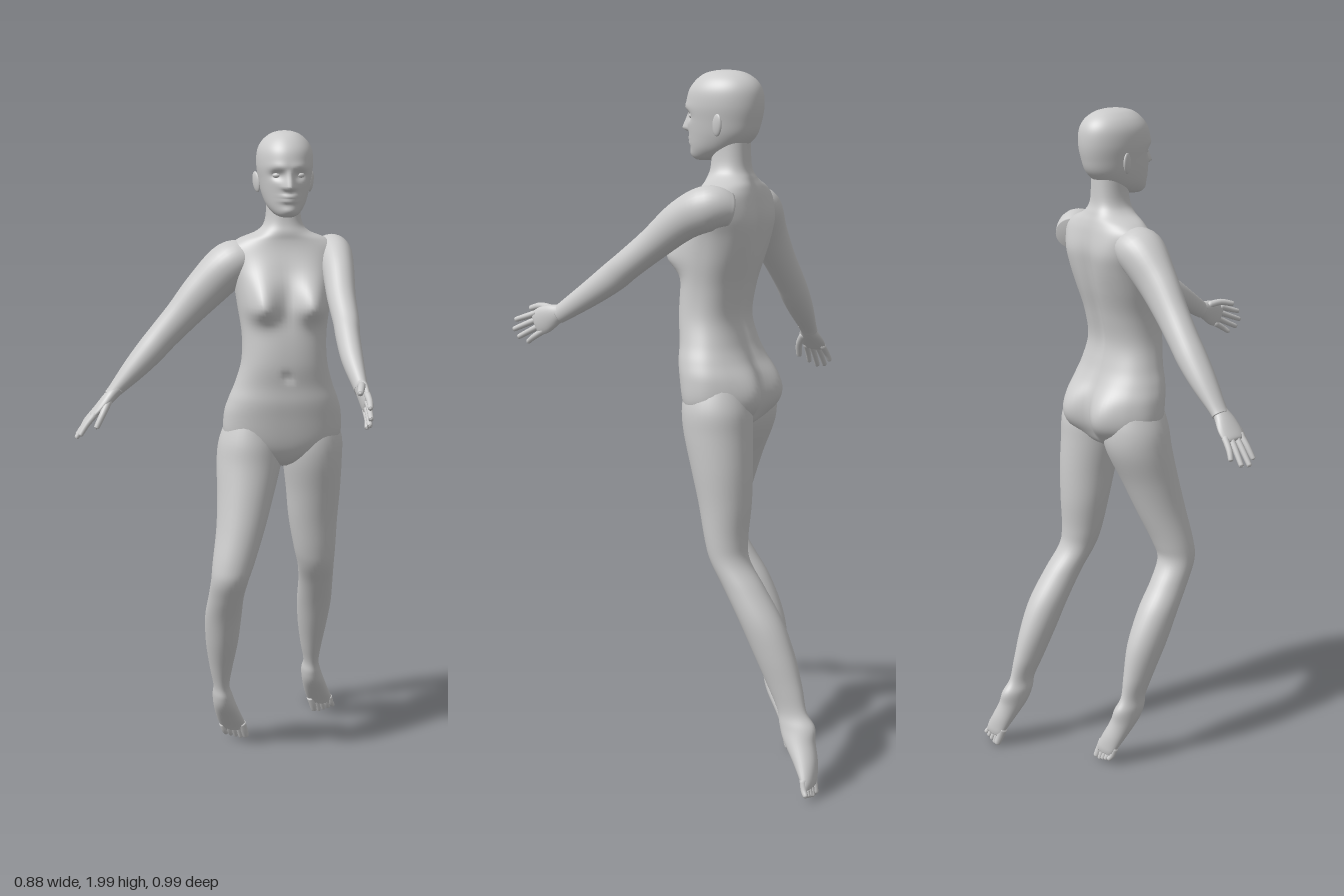
import * as THREE from 'three';

const MAT = new THREE.MeshStandardMaterial({ color: 0xcccccc, roughness: 0.8 });
const V = (x, y, z) => new THREE.Vector3(x, y, z);
const CX = 0.205; // body midline
const gauss = (d, s) => Math.exp(-(d * d) / (s * s));

// Catmull-Rom interpolation through rows of numbers
function smoothRows(rows, steps) {
  const out = [];
  const at = (i) => rows[Math.min(rows.length - 1, Math.max(0, i))];
  for (let i = 0; i < rows.length - 1; i++) {
    for (let s = 0; s < steps; s++) {
      const t = s / steps;
      out.push(rows[i].map((p1, k) => {
        const p0 = at(i - 1)[k], p2 = at(i + 1)[k], p3 = at(i + 2)[k];
        return p1 + 0.5 * t * (p2 - p0 + t * (2 * p0 - 5 * p1 + 4 * p2 - p3 + t * (3 * (p1 - p2) + p3 - p0)));
      }));
    }
  }
  out.push(rows[rows.length - 1]);
  return out;
}

// Closed loft through elliptical sections [x, y, z, radius along hint, radius across]
function loft(name, rows, { hint = V(1, 0, 0), level = false, n = 32, steps = 6, power = 1, deform } = {}) {
  const rings = smoothRows(rows, steps);
  const cap = (r) => [r[0], r[1], r[2], 1e-4, 1e-4];
  rings.unshift(cap(rings[0]));
  rings.push(cap(rings[rings.length - 1]));
  const centre = (i) => V(...rings[Math.min(rings.length - 2, Math.max(1, i))].slice(0, 3));
  const pos = [], index = [];
  const round = (c) => Math.sign(c) * Math.abs(c) ** power;
  rings.forEach((r, i) => {
    const a = Math.min(rings.length - 3, Math.max(1, i - 1));
    const b = Math.max(3, Math.min(rings.length - 2, i + 1));
    const t = centre(b).sub(centre(a)).normalize();
    if (level) t.set(0, Math.sign(t.y), 0);
    const u = hint.clone().addScaledVector(t, -hint.dot(t)).normalize();
    const v = t.clone().cross(u);
    for (let j = 0; j < n; j++) {
      const q = (j / n) * Math.PI * 2;
      const p = V(r[0], r[1], r[2])
        .addScaledVector(u, r[3] * round(Math.cos(q)))
        .addScaledVector(v, r[4] * round(Math.sin(q)));
      if (deform) deform(p, (p.z - r[2]) / r[4]);
      pos.push(p.x, p.y, p.z);
      if (i < rings.length - 1) {
        const k = i * n + j, m = i * n + ((j + 1) % n);
        index.push(k, m, k + n, m, m + n, k + n);
      }
    }
  });
  const geo = new THREE.BufferGeometry();
  geo.setAttribute('position', new THREE.Float32BufferAttribute(pos, 3));
  geo.setIndex(index);
  geo.computeVertexNormals();
  const mesh = new THREE.Mesh(geo, MAT);
  mesh.name = name;
  return mesh;
}

function ball(name, x, y, z, sx, sy, sz) {
  const m = new THREE.Mesh(new THREE.SphereGeometry(1, 20, 14), MAT);
  m.name = name;
  m.position.set(x, y, z);
  m.scale.set(sx, sy, sz);
  return m;
}

// [y, half width, front z, back z] -> level section on the midline
const section = ([y, w, f, b]) => [CX, y, (f + b) / 2, w, (f - b) / 2];

// Finger, thumb or toe with a rounded tip
function digit(name, a, b, c, r) {
  const end = c.clone().sub(b).setLength(r * 0.8);
  const row = (p, s) => [p.x, p.y, p.z, r * s, r * s];
  return loft(name, [row(a, 1.1), row(b, 1), row(c, 0.85), row(c.clone().addScaledVector(end, 0.6), 0.6),
    row(c.clone().add(end), 0.12)], { n: 12, steps: 3 });
}

// Hand: local y runs to the fingertips, local x to the thumb, palm on side s of z
function hand(name, wrist, dir, thumbward, s) {
  const g = new THREE.Group();
  g.name = name;
  g.add(loft('palm', [[0, -0.03, 0, 0.026, 0.021], [0, 0, 0, 0.025, 0.019], [0.002, 0.03, 0, 0.034, 0.017],
    [0.001, 0.06, 0, 0.039, 0.014], [0, 0.085, 0, 0.036, 0.011], [0, 0.093, 0, 0.028, 0.006]], { n: 24 }));
  [[0.028, 0.036, 0.15], [0.01, 0.013, 0.167], [-0.009, -0.013, 0.162], [-0.027, -0.037, 0.139]].forEach(([x0, x1, len]) =>
    g.add(digit('finger', V(x0, 0.075, 0), V((x0 + x1) / 2, 0.115, s * 0.002), V(x1, len, s * 0.008), 0.0088)));
  g.add(digit('thumb', V(0.018, 0.02, s * 0.004), V(0.042, 0.058, s * 0.014), V(0.05, 0.098, s * 0.026), 0.0105));
  const y = dir.normalize(), z = thumbward.clone().cross(y).normalize(), x = y.clone().cross(z);
  g.applyMatrix4(new THREE.Matrix4().makeBasis(x, y, z).setPosition(wrist));
  return g;
}

// Leg with foot; foot sections are shared and shifted to each ankle
function leg(name, rows, dx, dz, bigToe) {
  const g = new THREE.Group();
  g.name = name;
  const foot = [[0.031, 0.195, -0.213, 0.032, 0.053], [0.04, 0.155, -0.224, 0.037, 0.047],
    [0.056, 0.105, -0.25, 0.041, 0.034], [0.072, 0.065, -0.268, 0.042, 0.02], [0.08, 0.045, -0.274, 0.038, 0.012]];
  g.add(loft('legAndFoot', [...rows, ...foot.map(([x, y, z, a, b]) => [x + dx, y, z + dz, a, b])], { level: true }));
  for (let i = 0; i < 5; i++) {
    const x = 0.078 + dx + bigToe * (0.03 - i * 0.0162), r = i ? 0.0088 : 0.0125;
    const tip = 0.017 + (i ? (i - 1) * 0.005 : 0.003);
    g.add(digit('toe', V(x - 0.008, 0.07, -0.265 + dz), V(x, 0.045, -0.271 + dz), V(x + 0.007, tip, -0.279 + dz), r));
  }
  return g;
}

// Breasts, buttocks, spine groove and navel
function shapeTorso(p, facing) {
  const dx = p.x - CX, side = Math.abs(dx), y = p.y;
  const k = Math.min(1, Math.abs(facing) * 1.6);
  if (facing > 0) {
    p.z += k * 0.058 * gauss(side - 0.078, 0.05) * gauss(y - 1.49, y > 1.49 ? 0.085 : 0.042);
    p.z -= 0.01 * gauss(dx, 0.012) * gauss(y - 1.28, 0.013);
  } else {
    p.z -= k * 0.05 * gauss(side - 0.082, 0.07) * gauss(y - 1.1, 0.085);
    p.z += k * 0.016 * gauss(dx, 0.022) * gauss(y - 1.42, 0.24);
    p.z -= k * 0.012 * gauss(side - 0.09, 0.05) * gauss(y - 1.57, 0.09);
  }
}

// Nose, eye sockets, brow, lips and chin
function shapeFace(p, facing) {
  if (facing < 0.2) return;
  const dx = p.x - CX, side = Math.abs(dx), y = p.y;
  const bridge = THREE.MathUtils.clamp((1.892 - y) / 0.05, 0, 1) * THREE.MathUtils.smoothstep(y, 1.826, 1.84);
  p.z += 0.027 * bridge * gauss(dx, 0.008 + 0.008 * bridge);
  p.z -= 0.015 * gauss(side - 0.034, 0.02) * gauss(y - 1.875, 0.014);
  p.z += 0.004 * gauss(side - 0.03, 0.03) * gauss(y - 1.9, 0.012);
  p.z += 0.008 * gauss(dx, 0.024) * (gauss(y - 1.814, 0.006) + gauss(y - 1.801, 0.006));
  p.z += 0.006 * gauss(dx, 0.025) * gauss(y - 1.772, 0.012);
}

export function createModel() {
  const model = new THREE.Group();
  model.name = 'figure';

  model.add(loft('torsoAndNeck', [
    [0.99, 0.02, -0.08, -0.15], [1.01, 0.07, -0.055, -0.185], [1.04, 0.135, -0.035, -0.2], [1.08, 0.178, -0.022, -0.21],
    [1.15, 0.18, -0.01, -0.212], [1.2, 0.167, -0.002, -0.2], [1.25, 0.148, 0, -0.187], [1.32, 0.13, 0.008, -0.175],
    [1.4, 0.128, 0.004, -0.188], [1.48, 0.139, -0.012, -0.208], [1.55, 0.15, -0.025, -0.22], [1.6, 0.163, -0.042, -0.225],
    [1.65, 0.168, -0.06, -0.218], [1.68, 0.135, -0.067, -0.21], [1.705, 0.077, -0.068, -0.2],
    [1.74, 0.054, -0.076, -0.188], [1.82, 0.05, -0.08, -0.185],
  ].map(section), { level: true, n: 80, power: 0.88, deform: shapeTorso }));

  // Head
  const head = new THREE.Group();
  head.name = 'head';
  head.add(loft('skull', [
    [1.753, 0.02, -0.028, -0.07], [1.762, 0.038, -0.016, -0.12], [1.785, 0.056, -0.011, -0.165], [1.82, 0.069, -0.007, -0.203],
    [1.86, 0.077, -0.003, -0.218], [1.9, 0.083, 0, -0.225], [1.94, 0.081, -0.007, -0.222], [1.968, 0.068, -0.025, -0.207],
    [1.988, 0.046, -0.05, -0.18], [1.997, 0.024, -0.08, -0.15], [2.0, 0.003, -0.112, -0.118],
  ].map(section), { level: true, n: 96, steps: 8, power: 0.95, deform: shapeFace }));
  for (const s of [-1, 1]) {
    head.add(ball('eye', CX + s * 0.034, 1.875, -0.031, 0.014, 0.009, 0.013));
    const ear = ball('ear', CX + s * 0.082, 1.85, -0.128, 0.007, 0.031, 0.018);
    ear.rotation.set(-0.2, s * -0.4, s * -0.15);
    head.add(ear);
  }
  model.add(head);

  // Right arm reaches sideways and down
  model.add(loft('rightArm', [
    [0.11, 1.625, -0.14, 0.06, 0.045], [0.05, 1.607, -0.138, 0.073, 0.068], [-0.03, 1.53, -0.138, 0.055, 0.063],
    [-0.1, 1.452, -0.142, 0.046, 0.052], [-0.158, 1.388, -0.146, 0.044, 0.046], [-0.2, 1.34, -0.147, 0.044, 0.043],
    [-0.25, 1.285, -0.147, 0.039, 0.035], [-0.305, 1.225, -0.146, 0.028, 0.022], [-0.32, 1.208, -0.146, 0.026, 0.02],
  ], { hint: V(0, 0, 1) }));
  model.add(hand('rightHand', V(-0.315, 1.213, -0.142), V(-0.69, -0.73, 0), V(0, 0, 1), 1));

  // Left arm reaches forward and down
  model.add(loft('leftArm', [
    [0.325, 1.625, -0.185, 0.05, 0.045], [0.358, 1.63, -0.14, 0.055, 0.062], [0.361, 1.595, -0.06, 0.048, 0.057],
    [0.356, 1.525, 0.035, 0.042, 0.047], [0.357, 1.465, 0.115, 0.038, 0.043], [0.354, 1.428, 0.165, 0.035, 0.043],
    [0.354, 1.377, 0.24, 0.031, 0.037], [0.36, 1.322, 0.325, 0.021, 0.028], [0.361, 1.31, 0.345, 0.019, 0.026],
  ]));
  model.add(hand('leftHand', V(0.361, 1.316, 0.338), V(0.04, -0.4, 0.9), V(0, 0.9, 0.4), -1));

  // Legs, knees bent with the left leg trailing
  model.add(leg('rightLeg', [
    [0.108, 1.14, -0.12, 0.07, 0.085], [0.107, 1.07, -0.12, 0.096, 0.1], [0.102, 1.0, -0.113, 0.1, 0.1],
    [0.088, 0.9, -0.083, 0.087, 0.087], [0.07, 0.8, -0.055, 0.075, 0.076], [0.046, 0.7, -0.029, 0.065, 0.063],
    [0.034, 0.645, -0.025, 0.058, 0.057], [0.026, 0.58, -0.058, 0.055, 0.06], [0.022, 0.5, -0.105, 0.057, 0.065],
    [0.022, 0.4, -0.148, 0.051, 0.066], [0.023, 0.3, -0.182, 0.036, 0.052], [0.026, 0.235, -0.2, 0.026, 0.044],
  ], 0, 0, 1));
  model.add(leg('leftLeg', [
    [0.302, 1.14, -0.13, 0.07, 0.085], [0.302, 1.07, -0.135, 0.092, 0.1], [0.304, 1.0, -0.14, 0.092, 0.099],
    [0.31, 0.9, -0.155, 0.085, 0.088], [0.313, 0.8, -0.167, 0.077, 0.075], [0.321, 0.7, -0.175, 0.066, 0.061],
    [0.328, 0.64, -0.19, 0.058, 0.056], [0.336, 0.57, -0.237, 0.055, 0.06], [0.341, 0.48, -0.293, 0.055, 0.064],
    [0.343, 0.39, -0.335, 0.047, 0.061], [0.346, 0.3, -0.371, 0.034, 0.052], [0.351, 0.235, -0.395, 0.025, 0.044],
  ], 0.323, -0.2, -1));
  return model;
}
